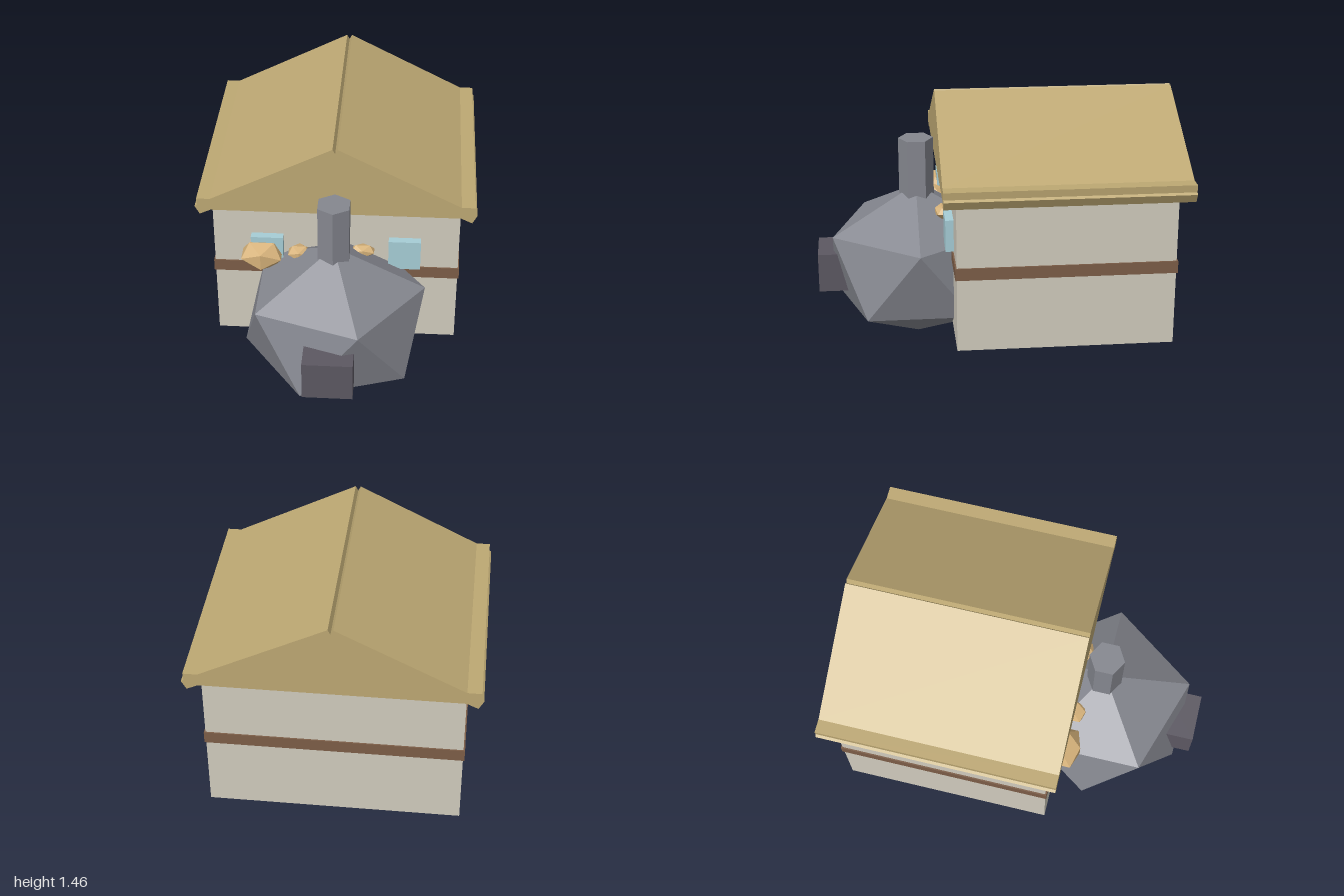
import * as THREE from 'three';
import { ConvexGeometry } from 'three/addons/geometries/ConvexGeometry.js';

const flat = (color) => new THREE.MeshStandardMaterial({ color, flatShading: true });
const MAT = {
  wall: flat(0xd0cbbd),
  beam: flat(0x7c5d47),
  roof: flat(0xbda873),
  stone: flat(0x85878f),
  door: flat(0x5c5862),
  glass: flat(0xa6cdd6),
  bread: flat(0xd6b27a),
};

export function createModel() {
  const group = new THREE.Group();

  const add = (name, geometry, material, x = 0, y = 0, z = 0) => {
    const mesh = new THREE.Mesh(geometry, material);
    mesh.name = name;
    mesh.position.set(x, y, z);
    group.add(mesh);
    return mesh;
  };

  // Box given by its lower and upper limits on each axis
  const box = (name, material, [x0, x1], [y0, y1], [z0, z1]) =>
    add(name, new THREE.BoxGeometry(x1 - x0, y1 - y0, z1 - z0), material,
      (x0 + x1) / 2, (y0 + y1) / 2, (z0 + z1) / 2);

  // House body, its belt beam and the posts whose feet show below
  box('walls', MAT.wall, [-0.68, 0.68], [0.187, 1.06], [-0.925, 0.255]);
  box('beltBeam', MAT.beam, [-0.688, 0.688], [0.6, 0.668], [-0.933, 0.263]);
  for (const s of [-1, 1]) {
    const z = s > 0 ? 0.215 : -0.885;
    box('cornerPost', MAT.beam, [s * 0.64 - 0.025, s * 0.64 + 0.025], [0.185, 0.6], [z - 0.025, z + 0.025]);
  }

  // Gabled roof: half profile from eave to ridge, mirrored and extruded
  const half = [[0.68, 1.05], [0.74, 1.022], [0.766, 1.07], [0.752, 1.08], [0.755, 1.12],
    [0.68, 1.12], [0.014, 1.457]];
  const profile = [...half, [0, 1.43], ...half.map(([x, y]) => [-x, y]).reverse()];
  const roofShape = new THREE.Shape(profile.map(([x, y]) => new THREE.Vector2(x, y)));
  add('roof', new THREE.ExtrudeGeometry(roofShape, { depth: 1.325, bevelEnabled: false }),
    MAT.roof, 0, 0, -1);

  // Windows on the front wall
  for (const s of [-1, 1]) {
    box('window', MAT.glass, [s * 0.381 - 0.089, s * 0.381 + 0.089], [0.68, 0.86], [0.2, 0.3]);
  }

  // Faceted oven: two staggered rings of five between a bottom and a top point
  const points = [new THREE.Vector3(0, 0, 0), new THREE.Vector3(0, 0.911, 0)];
  for (let i = 0; i < 10; i++) {
    const a = (i * Math.PI) / 5;
    points.push(new THREE.Vector3(0.5 * Math.cos(a), i % 2 ? 0.254 : 0.66, 0.5 * Math.sin(a)));
  }
  add('oven', new ConvexGeometry(points), MAT.stone, 0, 0, 0.437);
  add('chimney', new THREE.CylinderGeometry(0.098, 0.098, 0.385, 6), MAT.stone, 0, 0.9925, 0.433);
  box('ovenDoor', MAT.door, [-0.135, 0.135], [0.327, 0.55], [0.78, 1]);

  // Loaves: squashed low-poly lumps
  const loaf = (x, y, z, rx, ry, rz) => {
    const mesh = add('loaf', new THREE.IcosahedronGeometry(1, 0), MAT.bread, x, y, z);
    mesh.scale.set(rx, ry, rz);
  };
  loaf(-0.41, 0.75, 0.305, 0.13, 0.09, 0.1);
  loaf(-0.2, 0.785, 0.32, 0.07, 0.045, 0.06);
  loaf(0.15, 0.797, 0.3, 0.075, 0.04, 0.045);

  return group;
}
